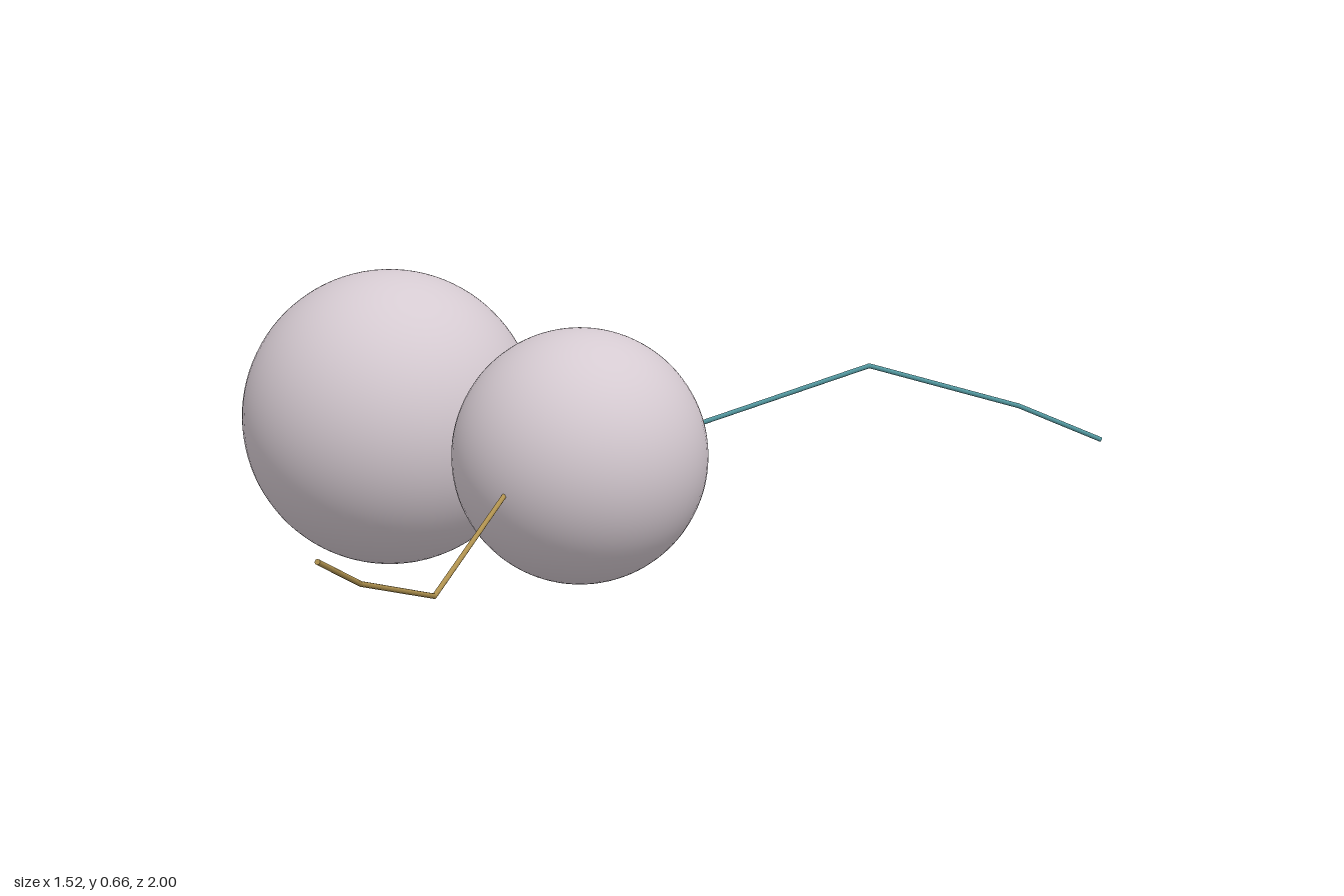
import * as THREE from 'three';

const material = (name, color) => {
  const m = new THREE.MeshStandardMaterial({ color });
  m.name = name;
  return m;
};

export function createModel() {
  const model = new THREE.Group();
  const CY = 0.335; // shared axis height
  const shell = material('pale mauve', 0xd5cad1);
  const steel = material('blue grey', 0x8a93a3);
  const teal = material('teal', 0x5499a1);
  const ochre = material('ochre', 0xb0924f);

  const add = (name, geometry, mat, parent = model) => {
    const mesh = new THREE.Mesh(geometry, mat);
    mesh.name = name;
    parent.add(mesh);
    return mesh;
  };

  // Two spheres side by side
  const ball = (name, x, r) =>
    add(name, new THREE.SphereGeometry(r, 64, 48), shell).position.set(x, CY, 0);
  ball('largeSphere', -0.432, 0.33);
  ball('smallSphere', 0.232, 0.262);

  // Short rod joining the spheres
  const rod = add('connectingRod', new THREE.CylinderGeometry(0.028, 0.028, 0.16, 24), steel);
  rod.rotation.z = Math.PI / 2;
  rod.position.set(-0.065, CY, 0);

  // Thin bent wire: straight segments with small round joints
  const path = [
    [0.265, 0.025, 0.195],
    [0.495, 0.166, 0.565],
    [0.662, 0.075, 0.845],
    [0.758, 0, 0.998],
  ];
  const R = 0.005;
  const up = new THREE.Vector3(0, 1, 0);
  const wire = (name, side, mat) => {
    const group = new THREE.Group();
    group.name = name;
    // The front wire dips down and the back wire arches up
    const pts = path.map(([x, y, z]) => new THREE.Vector3(x, CY - side * y, side * z));
    for (let i = 0; i < pts.length - 1; i++) {
      const dir = pts[i + 1].clone().sub(pts[i]);
      const seg = add('wireSegment', new THREE.CylinderGeometry(R, R, dir.length(), 10), mat, group);
      seg.position.copy(pts[i]).addScaledVector(dir, 0.5);
      seg.quaternion.setFromUnitVectors(up, dir.normalize());
      if (i > 0) add('wireJoint', new THREE.SphereGeometry(R, 10, 8), mat, group).position.copy(pts[i]);
    }
    model.add(group);
  };
  wire('frontWire', 1, ochre);
  wire('backWire', -1, teal);

  return model;
}
